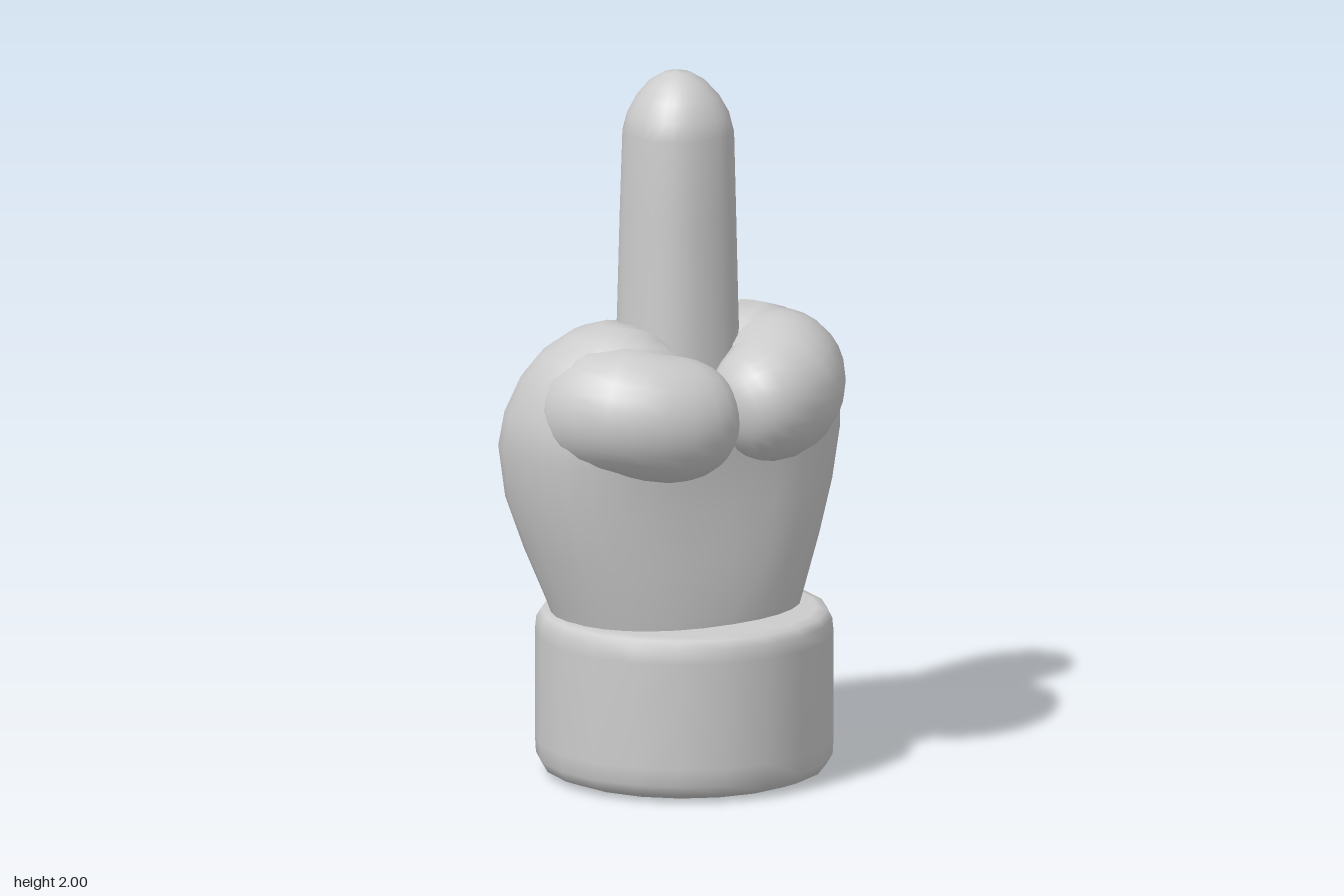
import * as THREE from 'three';

const SIDES = 28;
const foam = new THREE.MeshStandardMaterial({ color: 0xcccccc });
foam.name = 'pale grey foam';

// Skin a list of closed rings (each an array of SIDES points) with smooth normals
function skin(name, rings) {
  const index = [];
  for (let k = 0; k < rings.length - 1; k++) {
    for (let i = 0; i < SIDES; i++) {
      const j = (i + 1) % SIDES;
      const a = k * SIDES + i, b = k * SIDES + j;
      const c = a + SIDES, d = b + SIDES;
      index.push(a, c, b, b, c, d);
    }
  }
  const geo = new THREE.BufferGeometry().setFromPoints(rings.flat());
  geo.setIndex(index);
  geo.computeVertexNormals();
  const mesh = new THREE.Mesh(geo, foam);
  mesh.name = name;
  return mesh;
}

// Rounded-square horizontal ring: height, half width, front z, back z, squareness
function ring([y, w, front, back, n]) {
  const mid = (front + back) / 2, depth = (front - back) / 2;
  const bend = (v) => Math.sign(v) * Math.abs(v) ** (2 / n);
  return Array.from({ length: SIDES }, (_, i) => {
    const t = (i / SIDES) * Math.PI * 2;
    return new THREE.Vector3(w * bend(Math.cos(t)), y, mid + depth * bend(Math.sin(t)));
  });
}

// Rounded sausage along a path, for the curled fingers
function curl(name, path, radius) {
  const curve = new THREE.CatmullRomCurve3(path.map((p) => new THREE.Vector3(...p)));
  const up = new THREE.Vector3(0, 1, 0);
  const rings = [];
  for (let k = 0; k <= 20; k++) {
    const u = 0.5 - 0.5 * Math.cos((k / 20) * Math.PI);
    const r = radius * Math.sqrt(Math.max(1e-5, 1 - Math.abs(2 * u - 1) ** 3.5));
    const c = curve.getPointAt(u), t = curve.getTangentAt(u);
    const a = up.clone().cross(t).normalize();
    const b = a.clone().cross(t);
    rings.push(Array.from({ length: SIDES }, (_, i) => {
      const q = (i / SIDES) * Math.PI * 2;
      return c.clone().addScaledVector(a, r * Math.cos(q)).addScaledVector(b, r * Math.sin(q));
    }));
  }
  return skin(name, rings);
}

export function createModel() {
  const group = new THREE.Group();
  group.name = 'foamHand';

  // Cuff with softened rims
  const profile = [[0, 0], [0.35, 0.003], [0.395, 0.02], [0.413, 0.05], [0.416, 0.1],
    [0.416, 0.4], [0.412, 0.44], [0.398, 0.463], [0.37, 0.47], [0, 0.47]];
  const cuff = new THREE.Mesh(
    new THREE.LatheGeometry(profile.map((p) => new THREE.Vector2(...p)), 20), foam);
  cuff.name = 'cuff';
  cuff.position.x = 0.01;
  group.add(cuff);

  // Palm, with a cleft between the two knuckle lobes
  const palm = [
    [0.42, 0.345, 0.25, -0.3, 2.2],
    [0.5, 0.372, 0.26, -0.32, 2.25],
    [0.65, 0.428, 0.26, -0.355, 2.4],
    [0.8, 0.475, 0.25, -0.375, 2.6],
    [0.95, 0.503, 0.25, -0.37, 2.6],
    [1.05, 0.498, 0.26, -0.35, 2.5],
    [1.15, 0.465, 0.25, -0.31, 2.4],
    [1.22, 0.42, 0.22, -0.26, 2.3],
    [1.28, 0.35, 0.17, -0.18, 2.2],
    [1.31, 0.26, 0.1, -0.1, 2.1],
    [1.32, 0.14, 0.04, -0.05, 2],
    [1.32, 0.001, -0.004, -0.006, 2],
  ].map(ring);
  for (const p of palm.flat()) {
    p.y -= 0.14 * Math.exp(-((p.x / 0.11) ** 2)) * THREE.MathUtils.smoothstep(p.y, 1.0, 1.3);
  }
  group.add(skin('palm', palm));

  // Curled fingers meeting at the front
  group.add(curl('leftCurledFinger',
    [[0.3, 1.0, -0.08], [0.27, 1.12, 0.08], [0.15, 1.1, 0.235], [-0.035, 1.06, 0.245]], 0.182));
  group.add(curl('rightCurledFinger',
    [[-0.3, 1.0, -0.08], [-0.3, 1.09, 0.1], [-0.19, 1.07, 0.19], [0.02, 1.05, 0.18]], 0.18));

  // Raised finger with a domed tip
  group.add(skin('raisedFinger', [
    [1.05, 0.17, 0.16, -0.195, 2.3],
    [1.3, 0.16, 0.15, -0.185, 2.3],
    [1.6, 0.154, 0.142, -0.175, 2.3],
    [1.83, 0.149, 0.135, -0.165, 2.3],
    [1.88, 0.139, 0.123, -0.153, 2.2],
    [1.93, 0.113, 0.098, -0.132, 2.1],
    [1.97, 0.078, 0.06, -0.1, 2],
    [1.993, 0.04, 0.018, -0.062, 2],
    [2.0, 0.001, -0.021, -0.023, 2],
  ].map(ring)));

  return group;
}
